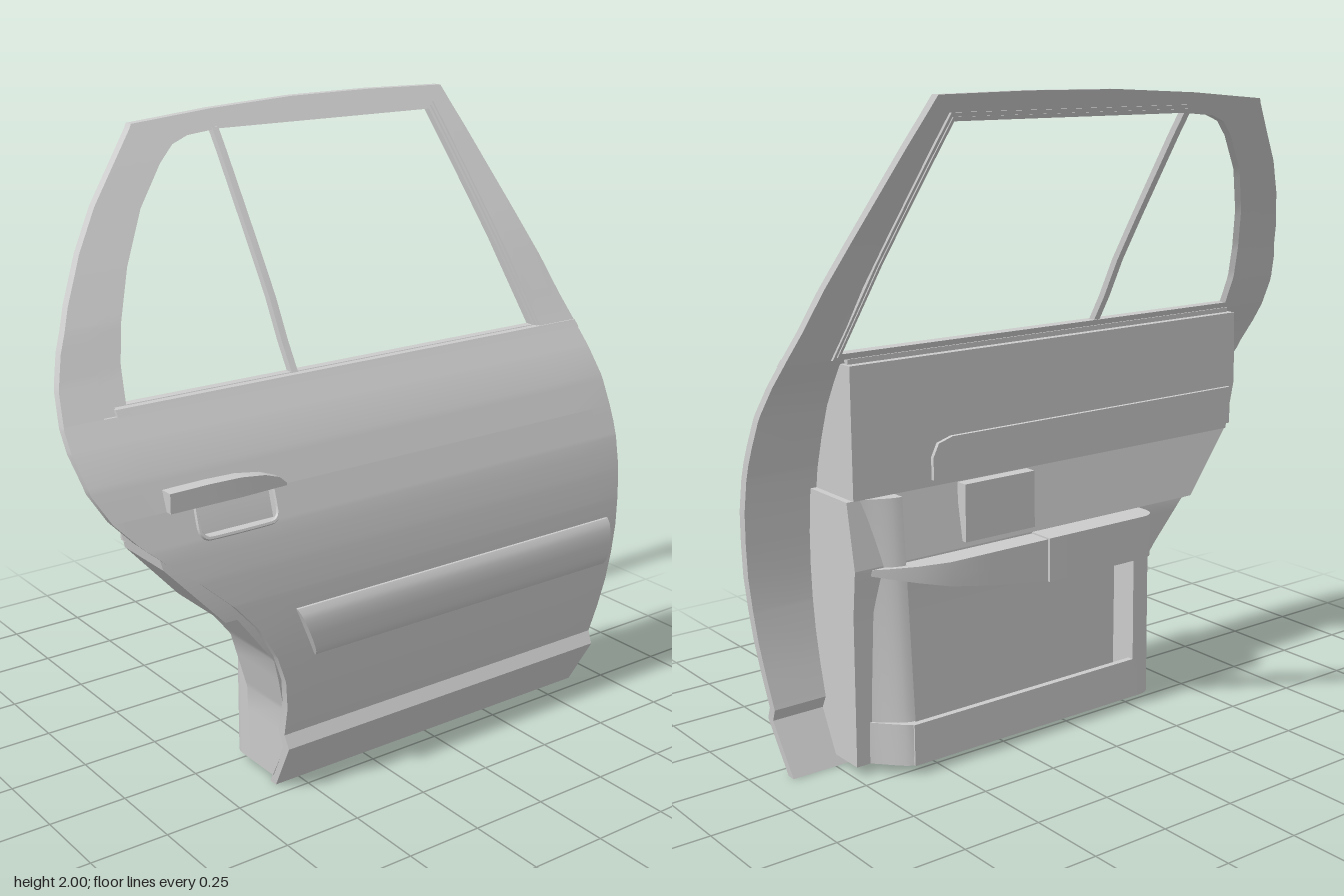
import * as THREE from 'three';
import { mergeGeometries, toCreasedNormals } from 'three/addons/utils/BufferGeometryUtils.js';

const grey = new THREE.MeshStandardMaterial({ color: 0xcccccc });

// Curves sorted by height, each point [value, y]
const SKIN = [[.2, 0], [.285, .16], [.265, .2], [.29, .3], [.31, .4], [.322, .5], [.327, .6], [.326, .7], [.318, .8],
  [.302, .9], [.272, 1], [.235, 1.1], [.19, 1.18], [.145, 1.25], [.085, 1.35], [.023, 1.47], [-.058, 1.6],
  [-.135, 1.72], [-.225, 1.86], [-.32, 2]];
const REAR = [[-.335, 0], [-.345, .17], [-.352, .3], [-.37, .4], [-.405, .49], [-.47, .6], [-.55, .69], [-.65, .78],
  [-.75, .86], [-.83, .93], [-.895, 1], [-.94, 1.08], [-.962, 1.18], [-.962, 1.24], [-.945, 1.33], [-.91, 1.42],
  [-.85, 1.53], [-.77, 1.65], [-.68, 1.76], [-.58, 1.86], [-.49, 1.948]];
const FRONT = [[.895, 0], [.91, .17], [.932, .4], [.948, .6], [.955, .8], [.952, .95], [.94, 1.08], [.92, 1.19],
  [.903, 1.26], [.703, 1.948]];
// Window opening and the outer line of its frame, matching points
const HOLE = [[-.755, 1.27], [-.735, 1.37], [-.7, 1.47], [-.63, 1.6], [-.53, 1.74], [-.42, 1.85], [-.36, 1.895],
  [-.3, 1.915], [-.19, 1.925], [.62, 1.925], [.735, 1.27]];
const OUTER = [[-.84, 1.25], [-.82, 1.36], [-.78, 1.48], [-.71, 1.61], [-.6, 1.76], [-.48, 1.87], [-.41, 1.915],
  [-.34, 1.938], [-.19, 1.948], [.635, 1.948], [.755, 1.25]];

const mix = (a, b, t) => a + (b - a) * t;
const mixPt = (p, q, t) => [mix(p[0], q[0], t), mix(p[1], q[1], t)];

function at(curve, y) {
  let i = 1;
  while (i < curve.length - 1 && curve[i][1] < y) i++;
  const [a, b] = [curve[i - 1], curve[i]];
  return mix(a[0], b[0], Math.min(1, Math.max(0, (y - a[1]) / (b[1] - a[1]))));
}
const skin = (y) => at(SKIN, y);
const off = (d) => (x, y) => skin(y) + d;

// Solid sheet between two edges: A on the -x side, B on the +x side, rows going up
function sheet(A, B, front, back, cols = 6) {
  const pos = [], idx = [], w = cols + 1, n = A.length * w;
  for (const z of [front, back])
    A.forEach((a, i) => {
      for (let j = 0; j <= cols; j++) {
        const [x, y] = mixPt(a, B[i], j / cols);
        pos.push(x, y, z(x, y));
      }
    });
  const quad = (a, b, c, d) => idx.push(a, b, c, a, c, d);
  const rim = [];
  for (let i = 0; i < A.length - 1; i++)
    for (let j = 0; j < cols; j++) {
      const k = i * w + j;
      quad(k, k + 1, k + w + 1, k + w);
      quad(n + k, n + k + w, n + k + w + 1, n + k + 1);
    }
  const last = A.length - 1;
  for (let j = 0; j < cols; j++) rim.push(j);
  for (let i = 0; i < last; i++) rim.push(i * w + cols);
  for (let j = cols; j > 0; j--) rim.push(last * w + j);
  for (let i = last; i > 0; i--) rim.push(i * w);
  rim.forEach((a, i) => {
    const b = rim[(i + 1) % rim.length];
    quad(a, n + a, n + b, b);
  });
  const g = new THREE.BufferGeometry();
  g.setAttribute('position', new THREE.Float32BufferAttribute(pos, 3));
  g.setIndex(idx);
  return g.toNonIndexed();
}

// Sheet between heights y0 and y1; the sides are curves or fixed x values
function band(left, right, y0, y1, front, back, cols) {
  const side = (s, y) => [Array.isArray(s) ? at(s, y) : s, y];
  const ys = [y0, y1];
  for (const c of [SKIN, left, right])
    if (Array.isArray(c)) c.forEach((p) => p[1] > y0 && p[1] < y1 && ys.push(p[1]));
  const rows = [...new Set(ys)].sort((a, b) => a - b);
  return sheet(rows.map((y) => side(left, y)), rows.map((y) => side(right, y)), front, back, cols);
}

// Plan outline of [x, z] points pulled up from y0 to y1
function plan(pts, y0, y1) {
  const shape = new THREE.Shape(pts.map(([x, z]) => new THREE.Vector2(x, -z)));
  const g = new THREE.ExtrudeGeometry(shape, { depth: y1 - y0, bevelEnabled: false });
  g.rotateX(-Math.PI / 2).translate(0, y0, 0);
  g.deleteAttribute('uv');
  g.deleteAttribute('normal');
  return g;
}

// Close a loop and add points along each stretch
function dense(loop) {
  const out = [];
  loop.forEach((p, i) => {
    const q = loop[(i + 1) % loop.length];
    for (let k = 0; k < 5; k++) out.push(mixPt(p, q, k / 5));
  });
  return [...out, loop[0]];
}

export function createModel() {
  const door = new THREE.Group();
  const add = (name, ...geos) => {
    const mesh = new THREE.Mesh(toCreasedNormals(mergeGeometries(geos), 0.5), grey);
    mesh.name = name;
    door.add(mesh);
  };
  const f = off(0), b = off(-.03);

  // Outer panel, left open for the handle cup
  add('outerPanel',
    band(REAR, FRONT, 0, .91, f, b, 10),
    band(REAR, -.635, .91, 1, f, b),
    band(-.385, FRONT, .91, 1, f, b),
    band(REAR, FRONT, 1, 1.25, f, b, 10));

  // Window surround: rear arch, front pillar and roof rail
  const arch = OUTER.slice(0, 9), post = [OUTER[10], OUTER[9]];
  const railLow = [], railTop = [];
  const roof = [[-.48, 1.96], [-.2, 1.983], [.1, 1.998], [.4, 2], [.69, 1.995]];
  roof.forEach((p, i) => {
    railLow.push([mix(-.49, .703, i / 4), 1.948]);
    railTop.push(p);
  });
  add('windowSurround',
    band(REAR, arch, 1.25, 1.948, f, b, 4),
    band(post, FRONT, 1.25, 1.948, f, b, 4),
    sheet(railTop, railLow, f, b, 3));

  // Stepped window frame, seal and divider
  const O = dense(OUTER), H = dense(HOLE), M = O.map((p, i) => mixPt(p, H[i], .5));
  add('windowFrame', sheet(O, M, off(-.008), off(-.04), 1));
  add('windowSeal', sheet(M, H, off(-.018), off(-.045), 1));
  add('windowDivider', band(-.21, -.188, 1.26, 1.93, off(-.015), off(-.04), 1));
  add('beltMoulding', band(-.8, FRONT, 1.245, 1.268, off(.004), off(-.03), 4));

  // Side rubbing strip with a rounded face
  const bulge = (x, y) => skin(y) + .008 + .019 * Math.sqrt(Math.max(0, Math.sin(Math.PI * (y - .47) / .165)));
  const stripEnd = [], stripFront = [];
  for (let i = 0; i <= 10; i++) {
    const y = mix(.47, .635, i / 10);
    stripEnd.push([mix(-.275, -.345, i / 10), y]);
    stripFront.push([.902, y]);
  }
  add('sideMoulding', sheet(stripEnd, stripFront, bulge, off(-.01), 4));

  // Handle: grip, recessed cup and rounded rim
  const gripLow = [], gripTop = [];
  for (const [x, y] of [[-.73, 1.058], [-.6, 1.06], [-.5, 1.058], [-.42, 1.047], [-.37, 1.03], [-.345, 1.008]]) {
    gripLow.push([x, 1]);
    gripTop.push([x, y]);
  }
  add('handleGrip', sheet(gripTop, gripLow, (x) => .293 - .05 * Math.max(0, x + .5), (x, y) => skin(y) - .03, 3));
  add('handleCup', band(-.65, -.37, .9, 1.01, off(-.045), off(-.06), 2));
  const rim = [[-.64, 1], [-.64, .93], [-.615, .907], [-.405, .907], [-.38, .93], [-.38, 1]]
    .map(([x, y]) => new THREE.Vector3(x, y, skin(y)));
  const rimGeo = new THREE.TubeGeometry(new THREE.CatmullRomCurve3(rim, false, 'catmullrom', .2), 40, .007, 6).toNonIndexed();
  rimGeo.deleteAttribute('uv');
  rimGeo.deleteAttribute('normal');
  add('handleRim', rimGeo);

  // Inner trim: flat upper panel, then a wall following the rear edge
  const behind = off(-.025);
  const upperRear = [[-.755, .84], [-.79, 1.0], [-.785, 1.235]];
  add('upperTrim', band(upperRear, .72, .84, 1.235, behind, () => .075));
  add('beltSeal', band(-.775, .71, 1.235, 1.25, () => .118, () => .1, 1));
  const padTop = [[-.76, .985], [.38, .985], [.43, .97], [.45, .93]];
  add('trimInsert', sheet(padTop, padTop.map(([x]) => [x, .86]), () => .09, () => .062, 1));
  const lowerRear = [[-.34, .03], [-.345, .28], [-.4, .47], [-.53, .64], [-.57, .641], [-.755, .84]];
  const wall = [[.065, .03], [.06, .5], [.045, .64], [.08, .84]];
  add('lowerTrim', band(lowerRear, .74, .03, .84, behind, (x, y) => at(wall, y), 8));
  add('pullRecess', band(.1, .36, .66, .84, () => .07, () => .03, 1));

  // Storage pocket: bin, rear column and curved front end
  const corner = [];
  for (let i = 0; i <= 6; i++) {
    const a = Math.PI / 2 * i / 6;
    corner.push([-.285 - .055 * Math.sin(a), .02 - .055 * Math.cos(a)]);
  }
  const sweep = [];
  for (let i = 0; i <= 8; i++) {
    const t = i / 8;
    sweep.push([.58 + .16 * t, -.035 + .125 * t * t * (3 - 2 * t)]);
  }
  add('rearColumn', plan([[-.25, .12], [-.25, -.035], ...corner, [-.34, .12]], .03, .5));
  add('pocketFront', plan([[-.27, -.035], [.6, -.035], [.6, -.015], [-.27, -.015]], .03, .16));
  add('pocketFloor', plan([[-.27, -.03], [.6, -.03], [.7, .1], [-.27, .1]], .03, .06));
  add('frontSweep', plan([...sweep, [.74, .12], [.6, .12]], .03, .16));
  // The front end leans back toward the wall as it rises
  const lean = (x, y) => {
    const t = Math.min(1, Math.max(0, (x - .58) / .16));
    return mix(mix(-.01, .035, (y - .16) / .68), .09, t * t * (3 - 2 * t));
  };
  add('frontColumn', band(.58, .74, .16, .84, () => .13, lean, 10));

  // Armrest: padded rear block and tapering front pull
  const round = corner.map(([x, z]) => [x, z - .01]);
  add('armrestPad', plan([[.1, .1], [.1, -.045], ...round, [-.34, .1]], .5, .64));
  const pullRear = [], pullFront = [];
  for (const [x, low] of [[.1, .5], [.3, .53], [.46, .56], [.56, .585], [.64, .605], [.7, .62]]) {
    pullRear.push([x, .635]);
    pullFront.push([x, low]);
  }
  add('armrestPull', sheet(pullRear, pullFront, () => .1, (x) => -.035 + .09 * Math.pow(Math.max(0, (x - .46) / .24), 1.5), 2));

  return door;
}
